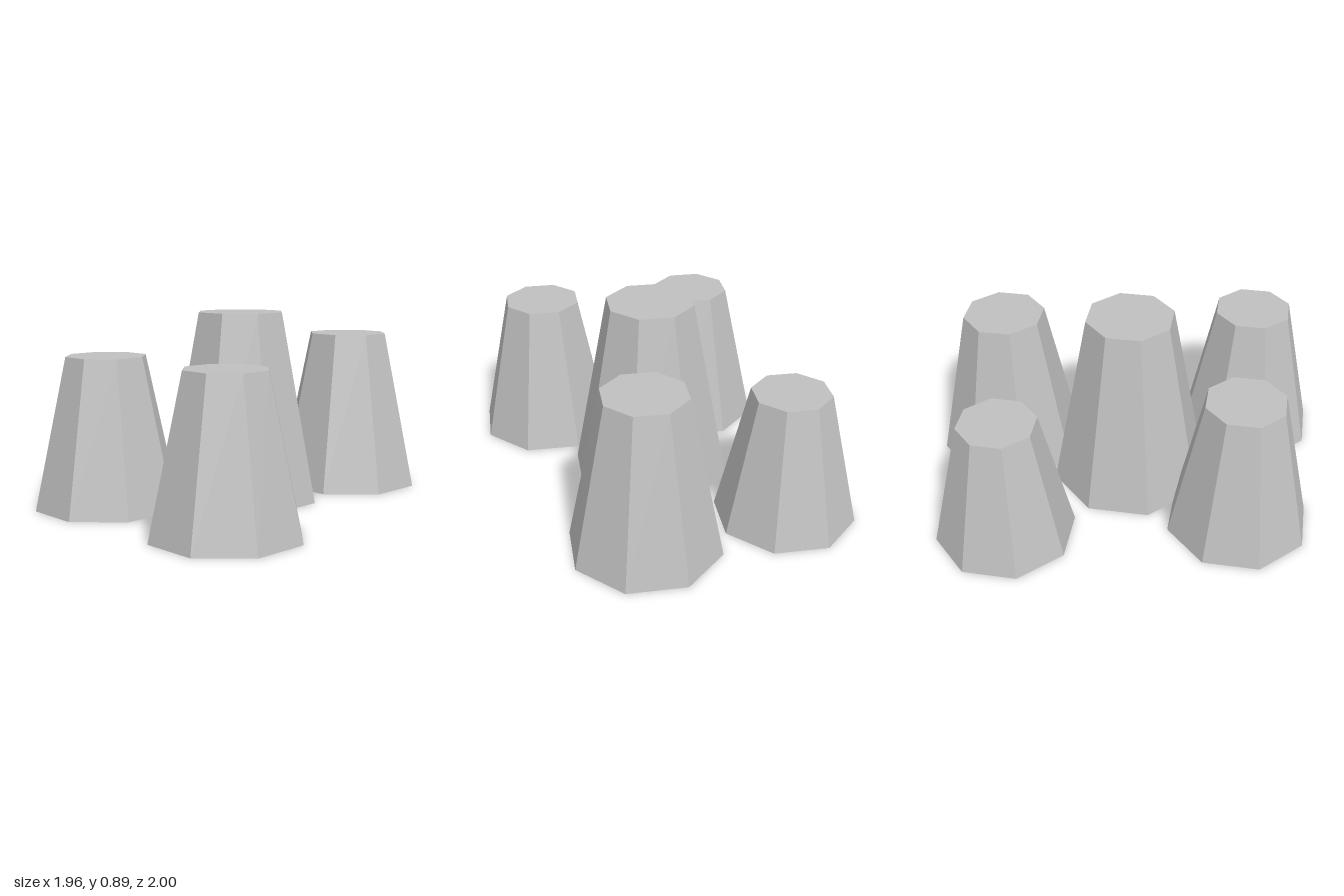
import * as THREE from 'three';

export function createModel() {
  const group = new THREE.Group();
  const stone = new THREE.MeshStandardMaterial({ color: 0xc0c0c0, flatShading: true });
  stone.name = 'stoneGrey';

  // Tapered eight-sided pillar standing on the ground, corners on the axes
  const addPillar = (name, x, z, bottomRadius, topRadius, height) => {
    const geometry = new THREE.CylinderGeometry(topRadius, bottomRadius, height, 8);
    const mesh = new THREE.Mesh(geometry, stone);
    mesh.name = name;
    mesh.position.set(x, height / 2, z);
    group.add(mesh);
  };

  addPillar('centrePillar', -0.007, 0.022, 0.378, 0.208, 0.886);
  addPillar('leftPillar', 0.625, -0.105, 0.352, 0.194, 0.761);
  addPillar('rightPillar', -0.641, -0.04, 0.339, 0.187, 0.696);
  addPillar('frontPillar', -0.325, 0.659, 0.339, 0.187, 0.696);
  addPillar('backPillar', 0.243, -0.673, 0.327, 0.18, 0.633);

  return group;
}
